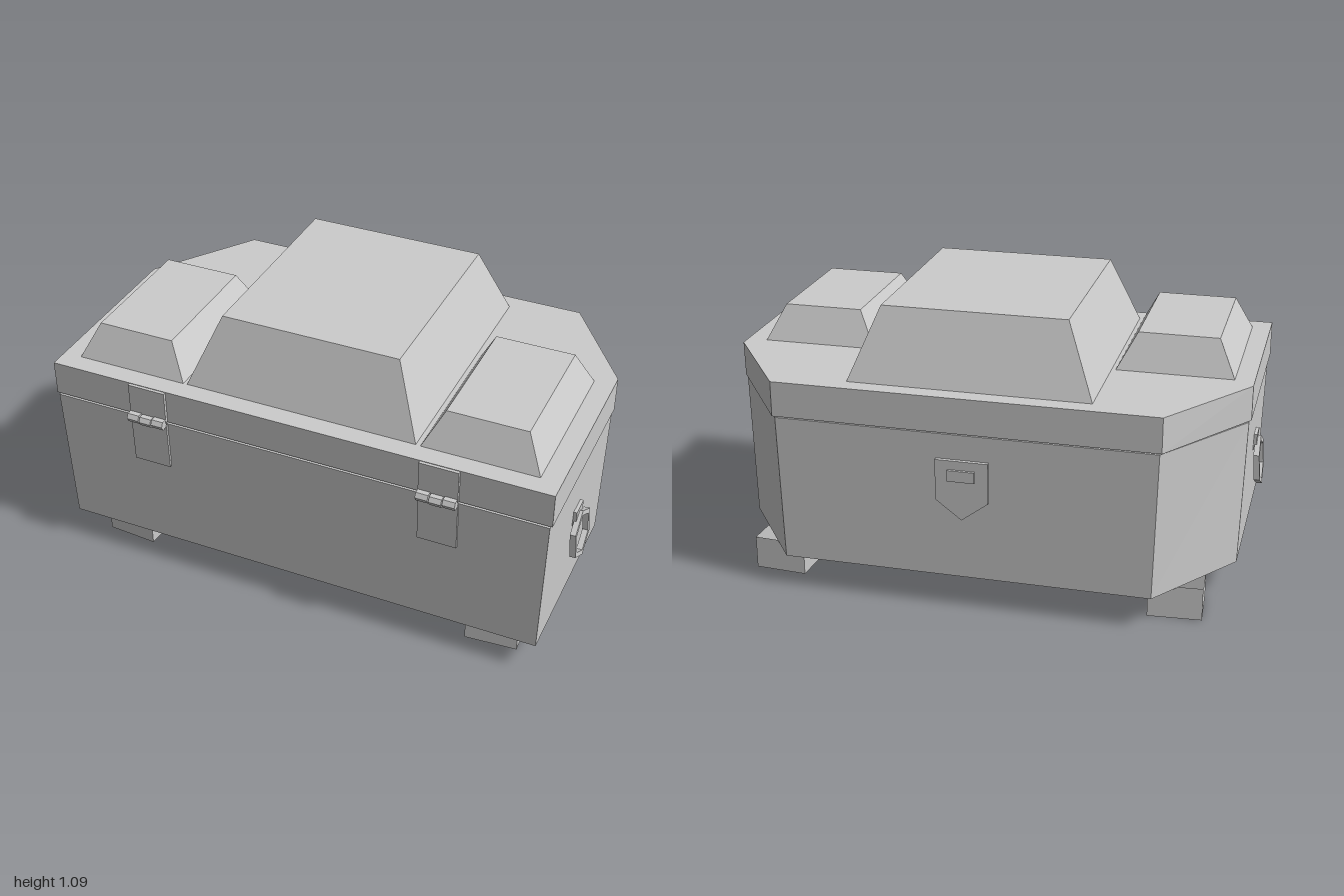
import * as THREE from 'three';

const metal = new THREE.MeshStandardMaterial({ color: 0xcccccc, flatShading: true, side: THREE.DoubleSide });
metal.name = 'plain grey';

// Convex [x, z] outlines, lofted from y0 to y1, listed counter-clockwise from above
function loft(low, high, y0, y1, capped = true) {
  const v = [], n = low.length;
  const L = i => [low[i % n][0], y0, low[i % n][1]];
  const H = i => [high[i % n][0], y1, high[i % n][1]];
  for (let i = 0; i < n; i++) {
    v.push(...L(i), ...L(i + 1), ...H(i + 1), ...L(i), ...H(i + 1), ...H(i));
    if (capped && i > 0 && i < n - 1) {
      v.push(...H(0), ...H(i), ...H(i + 1), ...L(0), ...L(i + 1), ...L(i));
    }
  }
  const g = new THREE.BufferGeometry();
  g.setAttribute('position', new THREE.Float32BufferAttribute(v, 3));
  g.computeVertexNormals();
  return g;
}

const rect = (x0, x1, z0, z1) => [[x0, z1], [x1, z1], [x1, z0], [x0, z0]];
// Box plan with the two back corners cut off
const plan = (a, front, cut, b, back) =>
  [[-a, front], [a, front], [a, cut], [b, back], [-b, back], [-a, cut]];

function add(parent, name, geometry, x = 0, y = 0, z = 0) {
  const m = new THREE.Mesh(geometry, metal);
  m.name = name;
  m.position.set(x, y, z);
  parent.add(m);
  return m;
}

function hexagon(r, Type) {
  const pts = [];
  for (let i = 0; i < 6; i++) {
    const t = Math.PI / 2 + i * Math.PI / 3;
    pts.push(new THREE.Vector2(r * Math.cos(t), r * Math.sin(t)));
  }
  return new Type(pts);
}

// Hinged hasp on the front
function latch(parent, x) {
  const g = new THREE.Group();
  g.name = 'latch';
  g.position.x = x;
  add(g, 'upperLatchPlate', new THREE.BoxGeometry(0.148, 0.13, 0.02), 0, 0.758, 0.552);
  const lower = add(g, 'lowerLatchPlate', new THREE.BoxGeometry(0.148, 0.19, 0.02), 0, 0.583, 0.549);
  lower.rotation.x = 0.02;
  for (let i = -1; i <= 1; i++) {
    const barrel = new THREE.CylinderGeometry(0.02, 0.02, 0.046, 6).rotateZ(Math.PI / 2);
    add(g, 'hingeBarrel', barrel, i * 0.05, i ? 0.693 : 0.69, 0.573);
  }
  parent.add(g);
}

// Hexagonal pull ring hanging from a small bracket
function handle(parent, side) {
  const g = new THREE.Group();
  g.name = side > 0 ? 'leftHandle' : 'rightHandle';
  const ring = hexagon(0.101, THREE.Shape);
  ring.holes.push(hexagon(0.08, THREE.Path));
  const geo = new THREE.ExtrudeGeometry(ring, { depth: 0.022, bevelEnabled: false });
  geo.translate(0, 0, -0.011).rotateY(Math.PI / 2);
  add(g, 'pullRing', geo, side * 0.982, 0.387, 0.18).rotation.z = side * 0.07;
  add(g, 'handleBracket', new THREE.BoxGeometry(0.022, 0.065, 0.08), side * 0.963, 0.472, 0.18);
  parent.add(g);
}

export function createModel() {
  const root = new THREE.Group();
  root.name = 'chest';

  // Slightly flared body and its lid
  add(root, 'body', loft(plan(0.952, 0.542, -0.195, 0.69, -0.562),
    plan(0.966, 0.551, -0.193, 0.702, -0.57), 0.125, 0.685));
  add(root, 'lid', loft(plan(0.974, 0.55, -0.19, 0.71, -0.577),
    plan(0.974, 0.55, -0.195, 0.71, -0.577), 0.692, 0.825));

  // Raised blocks on the lid
  add(root, 'middleDome', loft(rect(-0.455, 0.447, -0.51, 0.475),
    rect(-0.345, 0.34, -0.41, 0.375), 0.82, 1.09));
  add(root, 'rightDome', loft(rect(-0.905, -0.465, -0.15, 0.477),
    rect(-0.837, -0.538, -0.09, 0.417), 0.82, 0.958));
  add(root, 'leftDome', loft(rect(0.46, 0.9, -0.15, 0.477),
    rect(0.532, 0.832, -0.09, 0.417), 0.82, 0.958));

  // Hollow feet, each turned a little
  const s = 0.1;
  for (const x of [-0.755, 0.755]) {
    for (const z of [0.37, -0.353]) {
      const foot = loft(rect(-s, s, -s, s), rect(-s, s, -s, s), 0, 0.127, false);
      add(root, 'foot', foot, x, 0, z).rotation.y = 0.07 * Math.sign(x * z);
    }
  }

  latch(root, -0.575);
  latch(root, 0.565);
  handle(root, 1);
  handle(root, -1);

  // Pointed lock plate on the back with a raised slot
  const shield = new THREE.Shape([[-0.097, 0.59], [-0.097, 0.435], [0, 0.362], [0.097, 0.435], [0.097, 0.59]]
    .map(p => new THREE.Vector2(...p)));
  add(root, 'lockPlate', new THREE.ExtrudeGeometry(shield, { depth: 0.022, bevelEnabled: false }), 0, 0, -0.583);
  add(root, 'lockSlot', new THREE.BoxGeometry(0.1, 0.042, 0.016), 0, 0.535, -0.585);

  return root;
}
